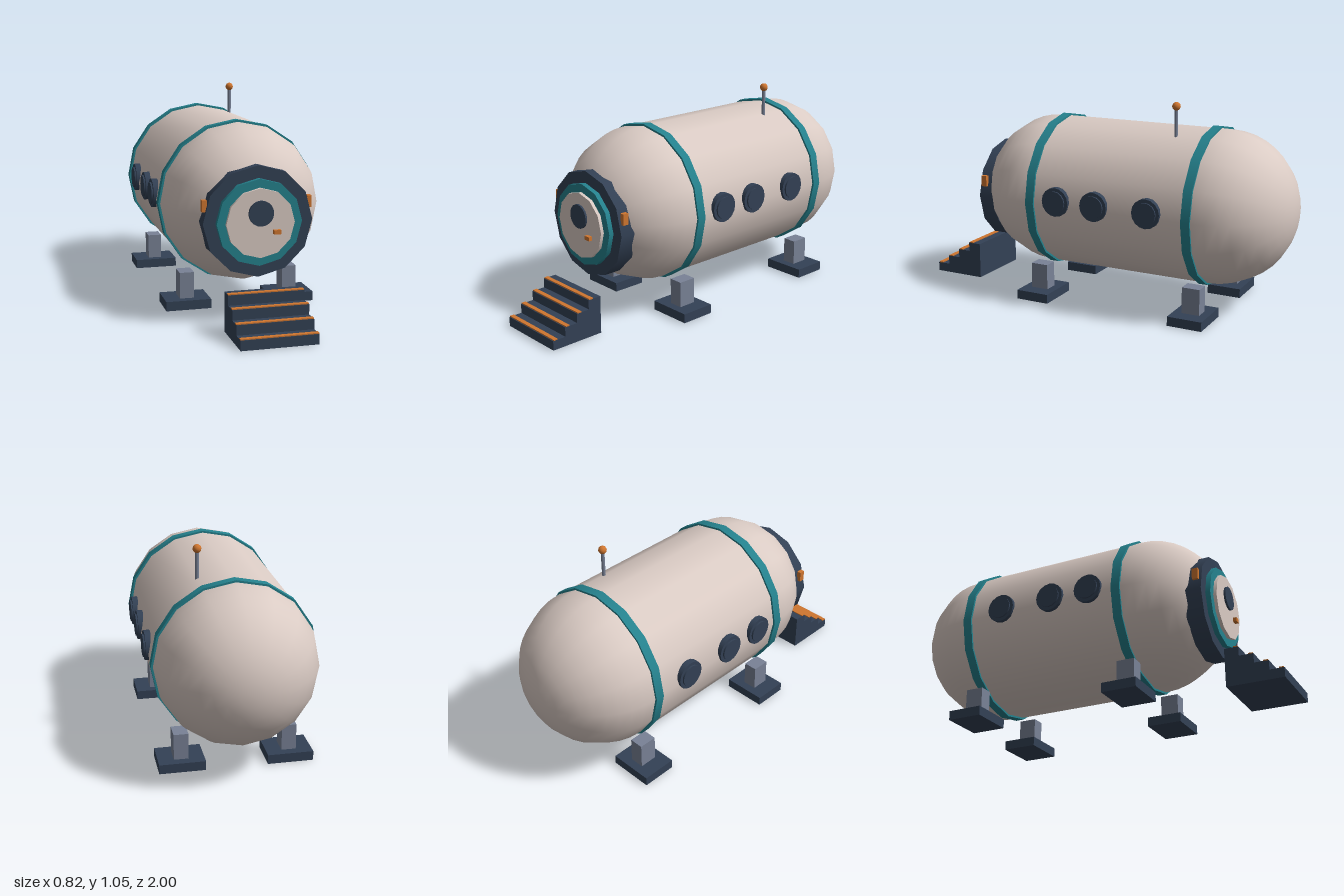
import * as THREE from 'three';

const mat = (name, color) => {
  const m = new THREE.MeshStandardMaterial({ color });
  m.name = name;
  return m;
};

export function createModel() {
  const model = new THREE.Group();
  model.name = 'habitatModule';
  const shell = mat('warm grey shell', 0xdacbc4);
  const navy = mat('navy', 0x334155);
  const teal = mat('teal', 0x25828e);
  const orange = mat('orange', 0xcf7630);
  const steel = mat('steel grey', 0x798296);

  const add = (name, geo, material, x, y, z, parent = model) => {
    const mesh = new THREE.Mesh(geo, material);
    mesh.name = name;
    mesh.position.set(x, y, z);
    parent.add(mesh);
    return mesh;
  };
  const box = (w, h, d) => new THREE.BoxGeometry(w, h, d);
  // Disc lying along z, given by its back and front
  const discZ = (name, r, sides, back, front, y, material) =>
    add(name, new THREE.CylinderGeometry(r, r, front - back, sides).rotateX(Math.PI / 2),
      material, 0, y, (back + front) / 2);

  // Pressure hull and its two bands
  const hullY = 0.525;
  add('hull', new THREE.CapsuleGeometry(0.39, 0.9, 10, 16).rotateX(Math.PI / 2), shell, 0, hullY, -0.16);
  for (const z of [0.262, -0.583]) discZ('hullBand', 0.4, 16, z - 0.023, z + 0.023, hullY, teal);

  // Airlock: stepped discs, window, handle and side lamps
  const doorY = 0.492;
  discZ('airlockFrame', 0.264, 12, 0.56, 0.65, doorY, navy);
  discZ('airlockSeal', 0.205, 12, 0.62, 0.675, doorY, teal);
  discZ('airlockDoor', 0.164, 12, 0.66, 0.692, doorY, shell);
  discZ('doorWindow', 0.06, 20, 0.68, 0.702, 0.539, navy);
  add('doorHandle', box(0.034, 0.02, 0.025), orange, 0.076, 0.45, 0.698);

  for (const side of [-1, 1]) {
    add('airlockLamp', box(0.022, 0.056, 0.03), orange, side * 0.253, 0.573, 0.622);

    // Portholes: wide rim with a raised pane
    for (const z of [0.112, -0.1, -0.381]) {
      const porthole = new THREE.Group();
      porthole.name = 'porthole';
      porthole.position.set(side * 0.39, 0.548, z);
      model.add(porthole);
      const disc = (r, d) => new THREE.CylinderGeometry(r, r, d, 16).rotateZ(Math.PI / 2);
      add('portholeRim', disc(0.073, 0.04), navy, -side * 0.008, 0, 0, porthole);
      add('portholePane', disc(0.056, 0.04), navy, 0, 0, 0, porthole);
    }

    // Feet: post on a pad
    for (const z of [0.267, -0.58]) {
      add('footPad', box(0.226, 0.047, 0.178), navy, side * 0.265, 0.0235, z);
      add('footPost', box(0.072, 0.135, 0.092), steel, side * 0.265, 0.1105, z);
    }
  }

  // Entry stairs with an orange nosing on each tread
  const rise = 0.0475, run = 0.07, backZ = 0.72;
  const profile = new THREE.Shape();
  profile.moveTo(-backZ, 0);
  profile.lineTo(-1, 0);
  for (let i = 0; i < 4; i++) {
    profile.lineTo(-1 + i * run, (i + 1) * rise);
    profile.lineTo(-1 + (i + 1) * run, (i + 1) * rise);
  }
  const stairs = new THREE.ExtrudeGeometry(profile, { depth: 0.362, bevelEnabled: false });
  stairs.translate(0, 0, -0.181).rotateY(Math.PI / 2);
  add('stairs', stairs, navy, 0, 0, 0);
  for (let i = 0; i < 4; i++) {
    add('stairNosing', box(0.362, 0.006, 0.022), orange, 0, (i + 1) * rise + 0.002, 0.985 - i * run);
  }

  // Antenna
  add('antennaMast', new THREE.CylinderGeometry(0.009, 0.009, 0.16, 8), steel, 0.148, 0.94, -0.425);
  add('antennaTip', new THREE.SphereGeometry(0.021, 12, 8), orange, 0.148, 1.03, -0.425);

  return model;
}
